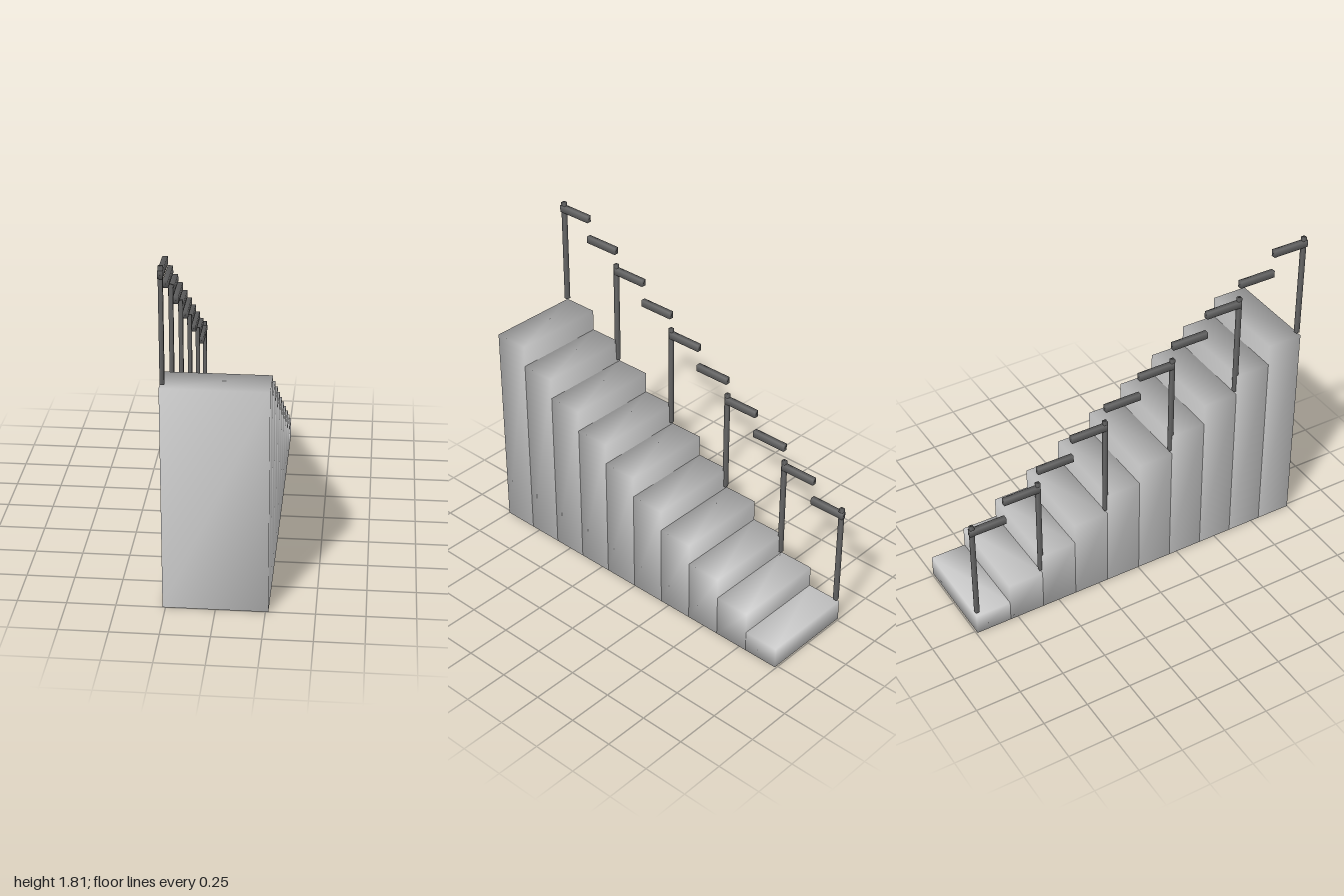
import * as THREE from 'three';
import { mergeVertices } from 'three/addons/utils/BufferGeometryUtils.js';

const grey = new THREE.MeshStandardMaterial({ color: 0xcccccc });
const darkGrey = new THREE.MeshStandardMaterial({ color: 0x666666 });

// Box with welded corners, so its normals blend smoothly round the edges
function softBox(w, h, d) {
  const box = new THREE.BoxGeometry(w, h, d);
  box.deleteAttribute('normal');
  box.deleteAttribute('uv');
  const welded = mergeVertices(box);
  welded.computeVertexNormals();
  return welded;
}

function addBox(parent, name, material, [w, h, d], [x, y, z]) {
  const mesh = new THREE.Mesh(softBox(w, h, d), material);
  mesh.name = name;
  mesh.position.set(x, y, z);
  parent.add(mesh);
}

export function createModel() {
  const model = new THREE.Group();
  model.name = 'staircase';
  const steps = new THREE.Group();
  steps.name = 'steps';
  const handrail = new THREE.Group();
  handrail.name = 'handrail';
  model.add(steps, handrail);

  const count = 10, rise = 0.12, run = 0.1993, width = 0.53, railX = -0.249;
  const startZ = -0.993;

  for (let i = 0; i < count; i++) {
    const top = rise * (i + 1);
    const z = startZ + run * (i + 0.5);
    // Solid step reaching the ground
    addBox(steps, 'step', grey, [width, top, run], [0, top / 2, z]);
    // Level rail piece over each step
    addBox(handrail, 'rail', darkGrey, [0.026, 0.038, 0.206], [railX, top + 0.573, z]);
  }

  // Posts: [z, height of the step each stands on]
  const postHeight = 0.595;
  const posts = [[-0.982, 0.12], [-0.597, 0.24], [-0.199, 0.48], [0.201, 0.72], [0.6, 0.96], [0.985, 1.2]];
  for (const [z, base] of posts) {
    addBox(handrail, 'post', darkGrey, [0.022, postHeight, 0.022],
      [railX, base + 0.018 + postHeight / 2, z]);
  }
  return model;
}
